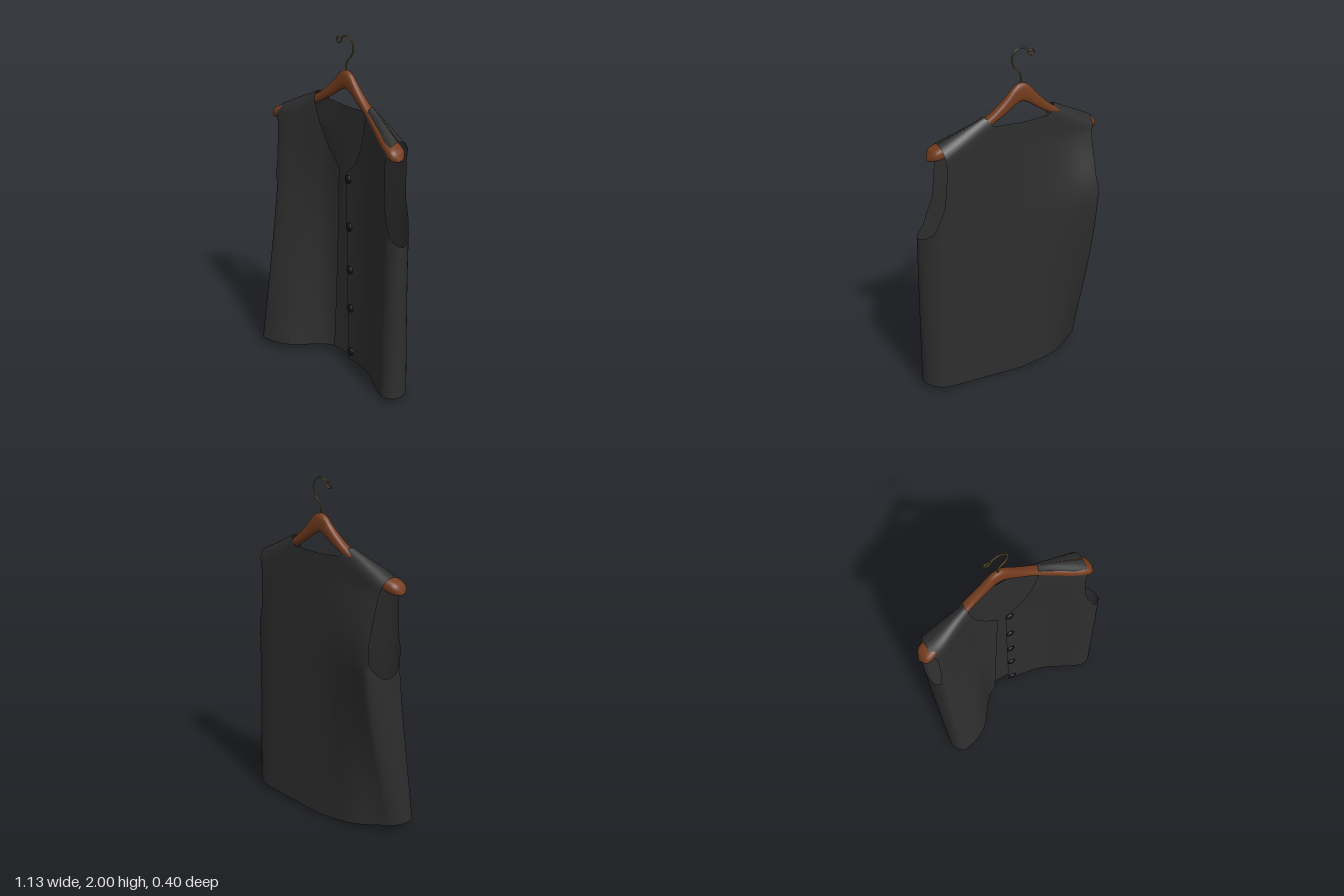
import * as THREE from 'three';
import { mergeVertices } from 'three/addons/utils/BufferGeometryUtils.js';

const cloth = new THREE.MeshStandardMaterial({ color: 0x2e2e2f, side: THREE.DoubleSide });
cloth.name = 'charcoal cloth';
const wood = new THREE.MeshStandardMaterial({ color: 0x743c1e });
wood.name = 'brown wood';
const brass = new THREE.MeshStandardMaterial({ color: 0x6b5630 });
brass.name = 'dull brass';
const black = new THREE.MeshStandardMaterial({ color: 0x141414 });
black.name = 'black button';

// Smooth curve through the points (xs, ys)
function spline(xs, ys, x) {
  const n = xs.length - 1;
  x = Math.min(Math.max(x, xs[0]), xs[n]);
  let i = 0;
  while (i < n - 1 && x > xs[i + 1]) i++;
  const slope = (k) => {
    const a = Math.max(k - 1, 0), b = Math.min(k + 1, n);
    return (ys[b] - ys[a]) / (xs[b] - xs[a]);
  };
  const h = xs[i + 1] - xs[i], t = (x - xs[i]) / h, t2 = t * t, t3 = t2 * t;
  return (2 * t3 - 3 * t2 + 1) * ys[i] + (t3 - 2 * t2 + t) * h * slope(i)
    + (3 * t2 - 2 * t3) * ys[i + 1] + (t3 - t2) * h * slope(i + 1);
}

// Sheet of nu x nv cells from a rule fn(u, v) -> [x, y, z]
function sheet(fn, nu, nv) {
  const pos = [], index = [];
  for (let j = 0; j <= nv; j++) for (let i = 0; i <= nu; i++) pos.push(...fn(i / nu, j / nv));
  for (let j = 0; j < nv; j++) for (let i = 0; i < nu; i++) {
    const a = j * (nu + 1) + i, b = a + 1, c = a + nu + 1, d = c + 1;
    index.push(a, b, d, a, d, c);
  }
  let g = new THREE.BufferGeometry();
  g.setAttribute('position', new THREE.Float32BufferAttribute(pos, 3));
  g.setIndex(index);
  g = mergeVertices(g, 1e-5);
  g.computeVertexNormals();
  return g;
}

function add(parent, name, geometry, material) {
  const m = new THREE.Mesh(geometry, material);
  m.name = name;
  parent.add(m);
  return m;
}

// Drape of the cloth: z across x at the hem, the underarm and the chest top
const LEVELS = [0, 1, 1.45];
const XS = [-0.56, -0.45, -0.3, -0.12, 0.2, 0.45, 0.58];
const FRONT = [
  [0.19, 0.2, 0.14, -0.06, -0.05, 0.07, 0.1],
  [0.06, 0.06, 0.0, -0.065, -0.06, 0.055, 0.08],
  [0.04, 0.035, -0.015, -0.06, -0.045, 0.04, 0.05],
];
const BACK = [
  [0.06, 0.0, -0.09, -0.115, -0.115, -0.11, -0.08],
  [-0.2, -0.2, -0.165, -0.13, -0.115, -0.105, -0.05],
  [-0.11, -0.115, -0.115, -0.12, -0.12, -0.12, -0.1],
];
const drape = (rows, x, y) => spline(LEVELS, rows.map((r) => spline(XS, r, x)), y);
const round = (d, r) => (d >= r ? 1 : Math.sqrt(Math.max(0, 1 - (1 - Math.max(d, 0) / r) ** 2)));

// Front and back meet along the side seam and over the shoulder
function clothZ(x, y, isFront) {
  const f = drape(FRONT, x, y), b = drape(BACK, x, y);
  const left = x > -0.03;
  const fromSide = (left ? 0.56 - x : x + 0.53) + Math.max(0, y - 1.05) * 0.5;
  const shoulderY = left ? 1.645 - (x - 0.19) * 0.4615 : 1.645 + (x + 0.25) * 0.4808;
  const open = round(fromSide, left ? 0.1 : 0.06) * round(shoulderY - y, 0.08);
  return (f + b) / 2 + (isFront ? 1 : -1) * open * (f - b) / 2;
}

// Edge points, from the hem up to the shoulder
const SIDE = {
  right: [[-0.53, 0.045], [-0.53, 0.5], [-0.53, 0.97], [-0.505, 1.04], [-0.485, 1.18], [-0.485, 1.42], [-0.51, 1.52]],
  left: [[0.56, 0.03], [0.56, 0.5], [0.56, 0.97], [0.5, 1.02], [0.445, 1.18], [0.43, 1.4], [0.45, 1.525]],
};
const OPENING = {
  right: [[-0.1, 0.05], [-0.08, 0.6], [-0.06, 1.23], [-0.14, 1.33], [-0.2, 1.46], [-0.232, 1.57], [-0.25, 1.645]],
  left: [[0.01, 0.01], [0, 0.6], [-0.01, 1.21], [0.08, 1.29], [0.14, 1.42], [0.17, 1.55], [0.19, 1.645]],
};
const SPINE = {
  right: [[-0.03, 0], [-0.03, 0.5], [-0.03, 0.97], [-0.03, 1.15], [-0.03, 1.585], [-0.2, 1.595], [-0.25, 1.645]],
  left: [[-0.03, 0], [-0.03, 0.5], [-0.03, 0.97], [-0.03, 1.15], [-0.03, 1.585], [0.15, 1.595], [0.19, 1.645]],
};

function panel(inner, outer, isFront) {
  const last = inner.length - 1;
  const along = (pts, v) => {
    const i = Math.min(Math.floor(v * last + 1e-9), last - 1);
    let t = v * last - i;
    if (i === last - 1) t = 1 - (1 - t) ** 2;
    return [0, 1].map((k) => pts[i][k] + (pts[i + 1][k] - pts[i][k]) * t);
  };
  return sheet((u, v) => {
    const a = along(inner, v), b = along(outer, v), s = 1 - (1 - u) ** 2;
    const x = a[0] + (b[0] - a[0]) * s, y = a[1] + (b[1] - a[1]) * s;
    return [x, y, clothZ(x, y, isFront)];
  }, 32, last * 8);
}

// Wooden arm: outline and depth by distance from the middle
const D = [0, 0.04, 0.1, 0.2, 0.3, 0.42, 0.48, 0.515, 0.535];
const TOP = [1.803, 1.79, 1.725, 1.64, 1.585, 1.53, 1.508, 1.485, 1.442];
const BOTTOM = [1.7, 1.685, 1.645, 1.585, 1.525, 1.455, 1.432, 1.43, 1.432];
const MIDZ = [-0.097, -0.097, -0.094, -0.084, -0.062, -0.032, -0.02, -0.015, -0.013];
const DEPTH = [0.023, 0.023, 0.025, 0.029, 0.036, 0.05, 0.054, 0.043, 0.004];

function hangerArm() {
  const power = (c) => Math.sign(c) * Math.abs(c) ** 0.75;
  return sheet((u, v) => {
    const x = 0.535 * Math.sin((u - 0.5) * Math.PI), d = Math.abs(x), a = v * Math.PI * 2;
    const top = spline(D, TOP, d), low = spline(D, BOTTOM, d);
    return [x - 0.035, (top + low) / 2 + power(Math.sin(a)) * (top - low) / 2,
      spline(D, MIDZ, d) + power(Math.cos(a)) * spline(D, DEPTH, d)];
  }, 64, 24);
}

export function createModel() {
  const model = new THREE.Group();
  model.name = 'waistcoatOnHanger';

  // Waistcoat
  const vest = new THREE.Group();
  vest.name = 'waistcoat';
  model.add(vest);
  for (const side of ['right', 'left']) {
    add(vest, side + 'FrontPanel', panel(OPENING[side], SIDE[side], true), cloth);
    add(vest, side + 'BackPanel', panel(SPINE[side], SIDE[side], false), cloth);
  }

  // Buttons down the left front edge
  [[0.015, 1.18], [0.02, 0.885], [0.024, 0.61], [0.03, 0.36], [0.036, 0.066]].forEach(([x, y], i) => {
    const b = add(vest, 'button' + (i + 1), new THREE.SphereGeometry(0.025, 20, 12), black);
    b.scale.z = 0.45;
    b.position.set(x, y, clothZ(x, y, true) + 0.004);
  });

  // Hanger
  const hanger = new THREE.Group();
  hanger.name = 'hanger';
  model.add(hanger);
  add(hanger, 'hangerArms', hangerArm(), wood);
  const path = [[-0.035, 1.78], [-0.035, 1.83], [-0.02, 1.863], [0.008, 1.89], [0.022, 1.935], [0.007, 1.977],
    [-0.033, 1.995], [-0.066, 1.982], [-0.08, 1.957], [-0.1, 1.944], [-0.114, 1.958], [-0.105, 1.977], [-0.083, 1.97]];
  const curve = new THREE.CatmullRomCurve3(path.map(([x, y]) => new THREE.Vector3(x, y, -0.095)));
  add(hanger, 'hook', new THREE.TubeGeometry(curve, 90, 0.0045, 8), brass);
  return model;
}
